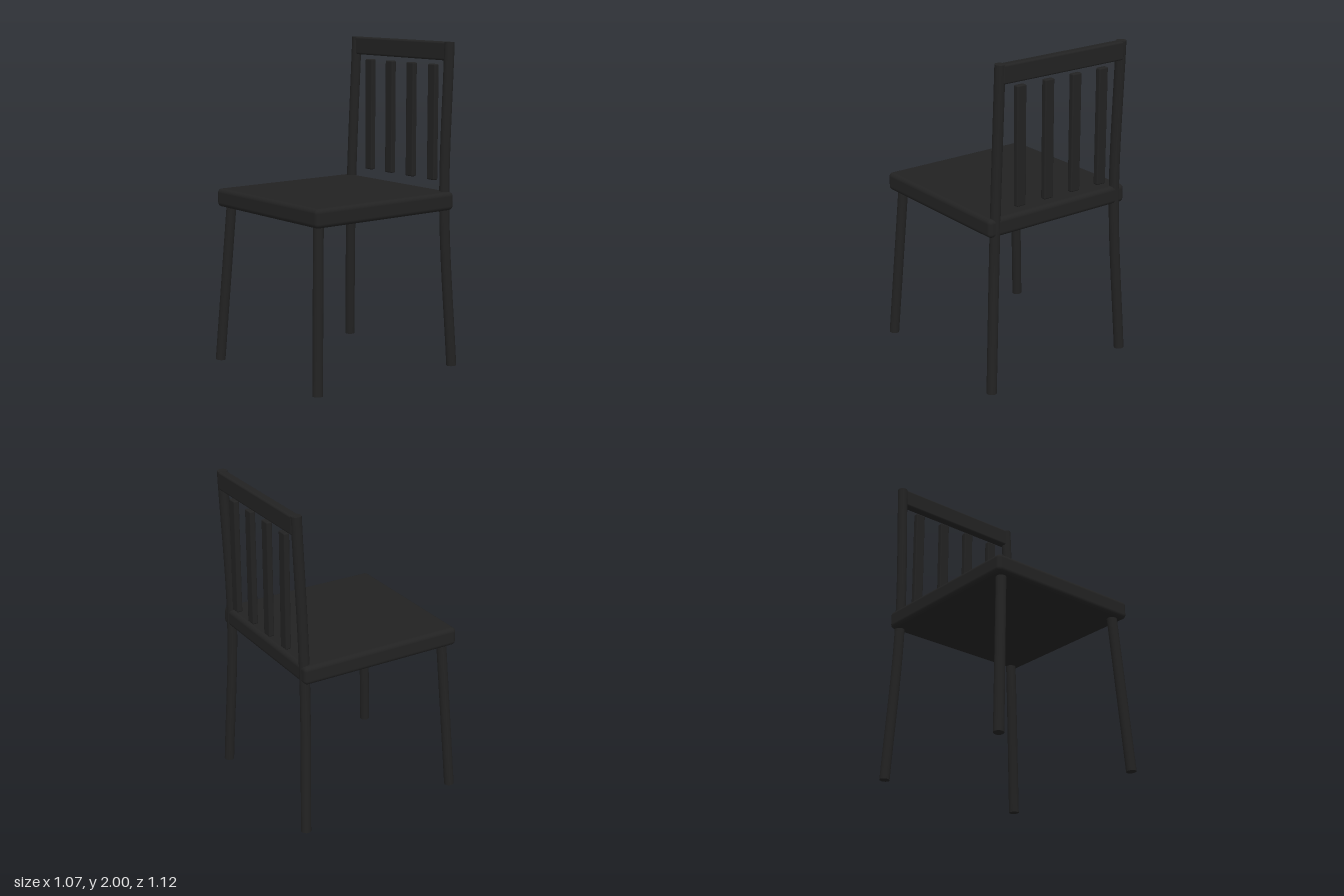
import * as THREE from 'three';
import { RoundedBoxGeometry } from 'three/addons/geometries/RoundedBoxGeometry.js';

const RADIUS = 0.031;

export function createModel() {
  const chair = new THREE.Group();
  chair.name = 'chair';
  const blackWood = new THREE.MeshStandardMaterial({ color: 0x222222 });
  blackWood.name = 'blackWood';

  // Softly rounded board given by its centre and size
  function board(name, size, centre, radius) {
    const mesh = new THREE.Mesh(new RoundedBoxGeometry(...size, 4, radius), blackWood);
    mesh.name = name;
    mesh.position.set(...centre);
    chair.add(mesh);
  }

  // Round rod along a curve, closed with a flat disc at both ends
  function rod(name, points) {
    const curve = new THREE.CatmullRomCurve3(points.map((p) => new THREE.Vector3(...p)));
    const group = new THREE.Group();
    group.name = name;
    group.add(new THREE.Mesh(new THREE.TubeGeometry(curve, 20, RADIUS, 16), blackWood));
    for (const end of [0, 1]) {
      const cap = new THREE.Mesh(new THREE.CircleGeometry(RADIUS, 16), blackWood);
      const outward = curve.getTangent(end).multiplyScalar(end ? 1 : -1);
      cap.position.copy(curve.getPoint(end));
      cap.quaternion.setFromUnitVectors(new THREE.Vector3(0, 0, 1), outward);
      group.add(cap);
    }
    group.children.forEach((mesh, i) => { mesh.name = ['shaft', 'lowerEnd', 'upperEnd'][i]; });
    chair.add(group);
  }

  board('seat', [1.02, 0.112, 1.055], [0, 1.037, 0.007], 0.026);

  // Splayed front legs, and back legs that bend into the backrest posts
  for (const [side, s] of [['left', 1], ['right', -1]]) {
    rod(side + 'FrontLeg', [[0.502 * s, 0.003, 0.526], [0.438 * s, 1.03, 0.468]]);
    rod(side + 'BackLegAndPost', [
      [0.502 * s, 0.003, -0.522], [0.452 * s, 1, -0.492], [0.441 * s, 1.998, -0.528],
    ]);
  }

  // Backrest rail between the posts, with slats below
  board('topRail', [0.88, 0.112, 0.056], [0, 1.942, -0.531], 0.012);
  [-0.3, -0.1, 0.1, 0.3].forEach((x, i) => {
    board('backSlat' + (i + 1), [0.066, 0.715, 0.036], [x, 1.502, -0.527], 0.008);
  });

  return chair;
}
